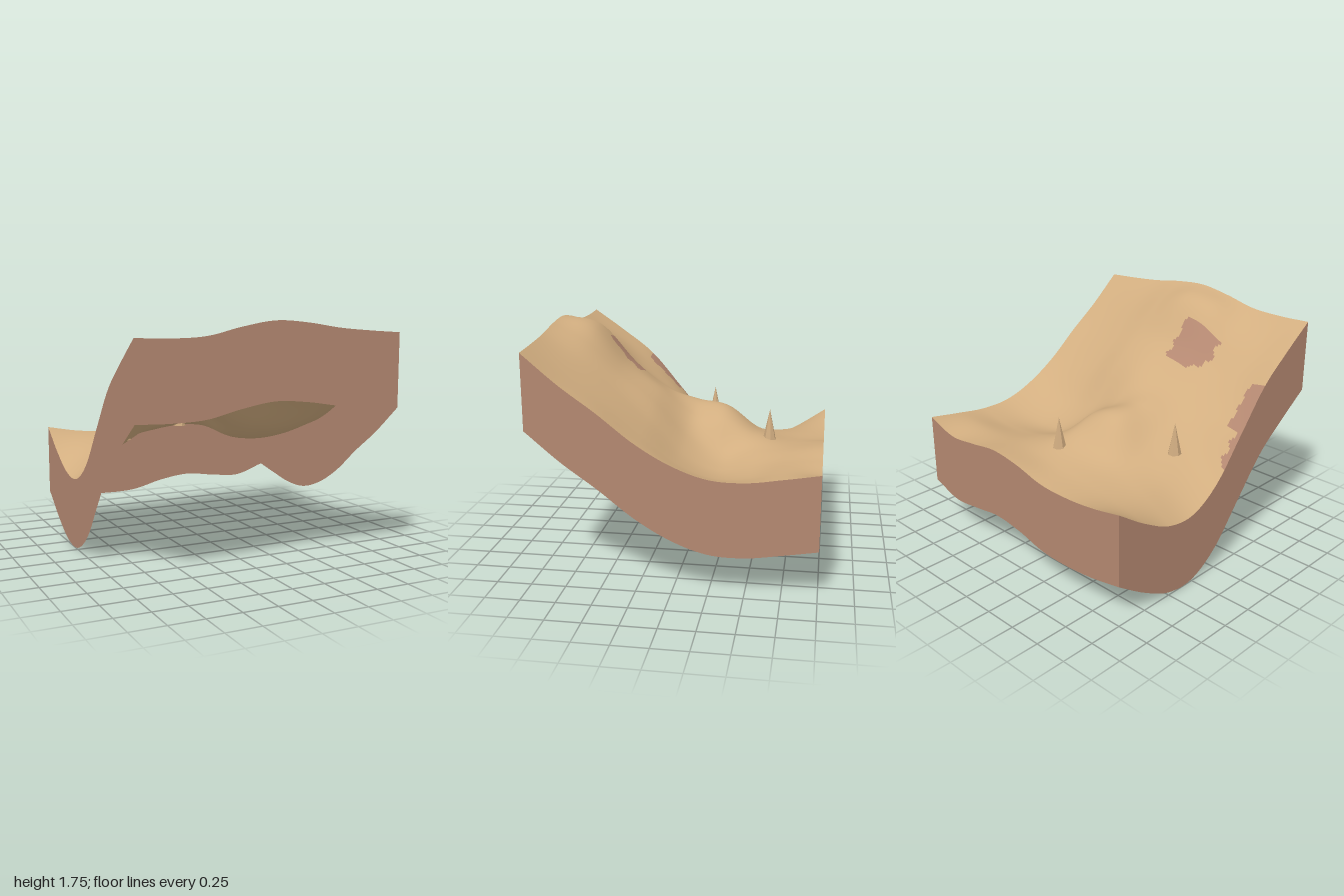
import * as THREE from 'three';

// Height sections across x (-1..1), one per z step from the back (-1) to the front (+1)
const SECTIONS = [
  [0.845, 0.80, 0.78, 0.79, 0.85, 0.88, 0.85, 0.832, 0.912],
  [0.68, 0.735, 0.775, 0.80, 0.83, 0.845, 0.835, 0.845, 0.87],
  [0.56, 0.705, 0.79, 0.86, 0.89, 0.83, 0.785, 0.785, 0.835],
  [0.55, 0.72, 0.86, 1.04, 1.01, 0.81, 0.755, 0.775, 0.845],
  [0.70, 0.83, 0.97, 1.085, 1.03, 0.92, 0.86, 0.87, 0.93],
  [0.995, 1.05, 1.10, 1.17, 1.22, 1.18, 1.10, 1.07, 1.075],
  [1.29, 1.26, 1.28, 1.37, 1.40, 1.38, 1.32, 1.28, 1.27],
  [1.485, 1.47, 1.52, 1.65, 1.68, 1.61, 1.53, 1.48, 1.45],
  [1.66, 1.652, 1.663, 1.718, 1.755, 1.738, 1.70, 1.677, 1.66],
];
const SKIRT_DEPTH = 0.535;
const GRID = 125;

// Smooth curve through evenly spaced values, t in -1..1
function smooth(values, t) {
  const last = values.length - 1;
  const s = THREE.MathUtils.clamp((t + 1) / 2, 0, 1) * last;
  const i = Math.min(Math.floor(s), last - 1);
  const f = s - i;
  const b = values[i], c = values[i + 1];
  const a = i > 0 ? values[i - 1] : 2 * b - c;
  const d = i + 2 <= last ? values[i + 2] : 2 * c - b;
  return b + 0.5 * f * (c - a + f * (2 * a - 5 * b + 4 * c - d + f * (3 * (b - c) + d - a)));
}

const heightAt = (x, z) => smooth(SECTIONS.map((row) => smooth(row, x)), z);

// Bare clay patches with scalloped sides
function isClay(x, z) {
  const wave = 0.015 * Math.sin((z * Math.PI * 2) / 0.085);
  const edgePatch = (z > 0.25 && z < 0.5 && x < -0.88 + wave) ||
    (z > 0.08 && z <= 0.25 && x < -0.955 + wave);
  const left = Math.max(-0.46, -0.32 - (z - 0.42) * 1.15);
  const slopePatch = z > 0.42 && z < 0.66 && x > left + wave && x < -0.125 + wave;
  return edgePatch || slopePatch;
}

function terrainGeometry() {
  const geo = new THREE.PlaneGeometry(2, 2, GRID, GRID).rotateX(-Math.PI / 2);
  const pos = geo.attributes.position;
  for (let i = 0; i < pos.count; i++) pos.setY(i, heightAt(pos.getX(i), pos.getZ(i)));
  // Sort the cells into a sand group and a clay group
  const source = geo.index.array;
  const sand = [], clay = [];
  for (let cell = 0; cell < GRID * GRID; cell++) {
    const x = -1 + (2 * ((cell % GRID) + 0.5)) / GRID;
    const z = -1 + (2 * (Math.floor(cell / GRID) + 0.5)) / GRID;
    const target = isClay(x, z) ? clay : sand;
    for (let k = 0; k < 6; k++) target.push(source[cell * 6 + k]);
  }
  geo.setIndex([...sand, ...clay]);
  geo.clearGroups();
  geo.addGroup(0, sand.length, 0);
  geo.addGroup(sand.length, clay.length, 1);
  geo.computeVertexNormals();
  return geo;
}

// Vertical wall following one edge of the terrain
function skirtGeometry(angle) {
  const geo = new THREE.PlaneGeometry(2, 1, GRID, 1);
  const pos = geo.attributes.position;
  const c = Math.round(Math.cos(angle)), s = Math.round(Math.sin(angle));
  for (let i = 0; i < pos.count; i++) {
    const u = pos.getX(i);
    const x = u * c + s, z = c - u * s;
    const drop = pos.getY(i) > 0 ? 0 : SKIRT_DEPTH;
    pos.setXYZ(i, x, heightAt(x, z) - drop, z);
  }
  geo.computeVertexNormals();
  return geo;
}

export function createModel() {
  const group = new THREE.Group();
  const sand = new THREE.MeshStandardMaterial({ name: 'sand', color: 0xd2ae80, side: THREE.DoubleSide });
  const clay = new THREE.MeshStandardMaterial({ name: 'clay', color: 0xb48871, side: THREE.DoubleSide });
  const spike = new THREE.MeshStandardMaterial({ name: 'spike sand', color: 0xd0ac80, flatShading: true });

  const add = (name, geo, material) => {
    const mesh = new THREE.Mesh(geo, material);
    mesh.name = name;
    group.add(mesh);
    return mesh;
  };

  // Rolling ground
  add('terrain', terrainGeometry(), [sand, clay]);

  // Side walls, open underneath
  ['frontWall', 'leftWall', 'backWall', 'rightWall'].forEach((name, k) =>
    add(name, skirtGeometry((k * Math.PI) / 2), clay));

  // Pointed rocks
  const coneHeight = 0.235;
  [['sideSpire', -0.67, -0.09], ['backSpire', 0, -0.59]].forEach(([name, x, z]) => {
    const cone = add(name, new THREE.ConeGeometry(0.05, coneHeight, 7), spike);
    cone.position.set(x, 0.85 + coneHeight / 2, z);
  });

  return group;
}
